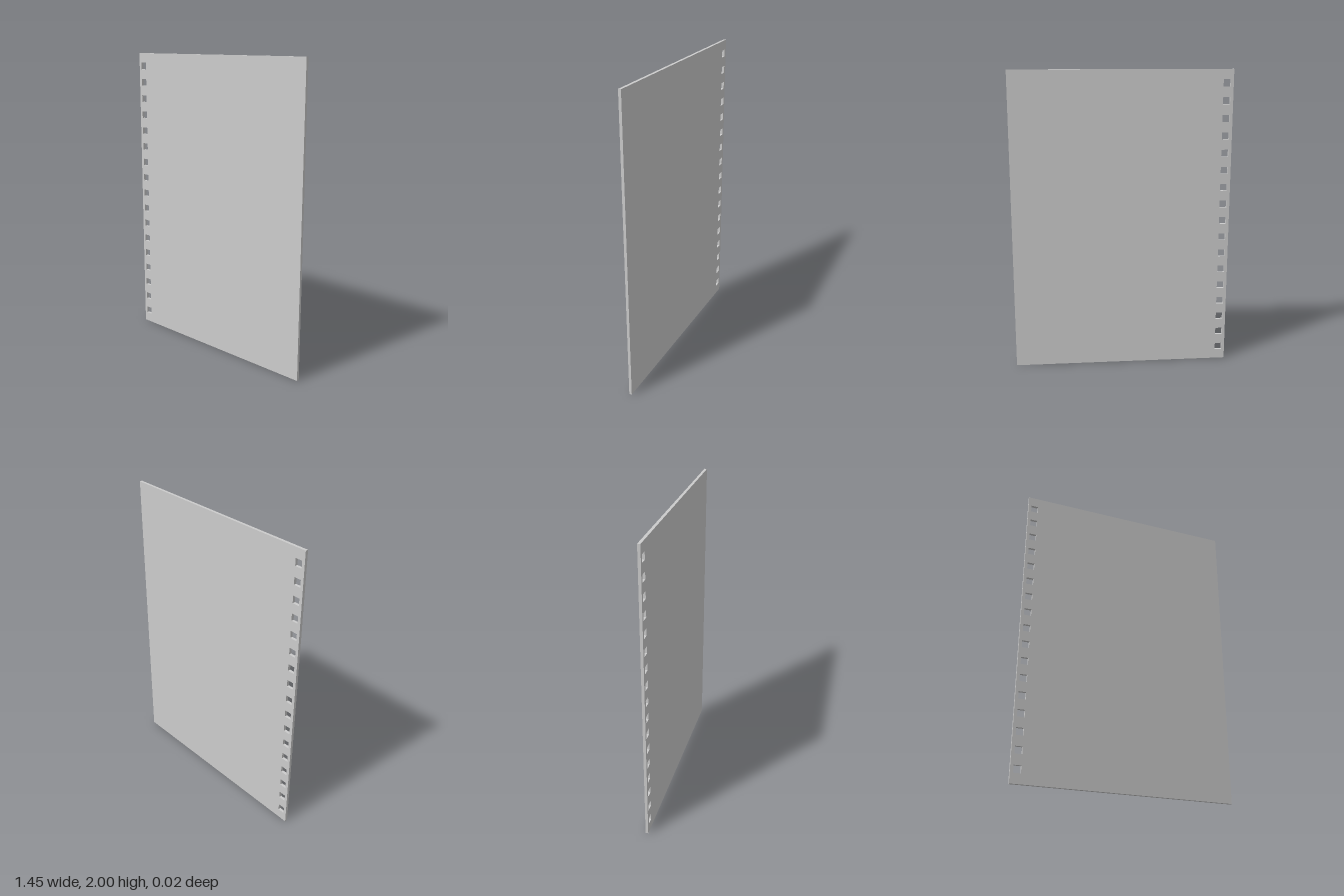
import * as THREE from 'three';

const WIDTH = 1.452, HEIGHT = 2, THICKNESS = 0.018;
const HOLES = 17, PITCH = 0.114, HOLE = 0.047, HOLE_X = -0.683;

// Closed rectangle given by its centre and size
function rectangle(Type, cx, cy, w, h) {
  const path = new Type();
  path.moveTo(cx - w / 2, cy - h / 2);
  path.lineTo(cx + w / 2, cy - h / 2);
  path.lineTo(cx + w / 2, cy + h / 2);
  path.lineTo(cx - w / 2, cy + h / 2);
  path.closePath();
  return path;
}

export function createModel() {
  const group = new THREE.Group();
  group.name = 'perforatedSheet';

  // Flat sheet with a column of square binding holes along one edge
  const outline = rectangle(THREE.Shape, 0, HEIGHT / 2, WIDTH, HEIGHT);
  for (let i = 0; i < HOLES; i++) {
    const y = HEIGHT / 2 + (i - (HOLES - 1) / 2) * PITCH;
    outline.holes.push(rectangle(THREE.Path, HOLE_X, y, HOLE, HOLE));
  }
  const geometry = new THREE.ExtrudeGeometry(outline, { depth: THICKNESS, bevelEnabled: false });
  geometry.translate(0, 0, -THICKNESS / 2);

  const sheet = new THREE.Mesh(geometry, new THREE.MeshStandardMaterial({ color: 0xcccccc }));
  sheet.name = 'sheet';
  group.add(sheet);
  return group;
}
